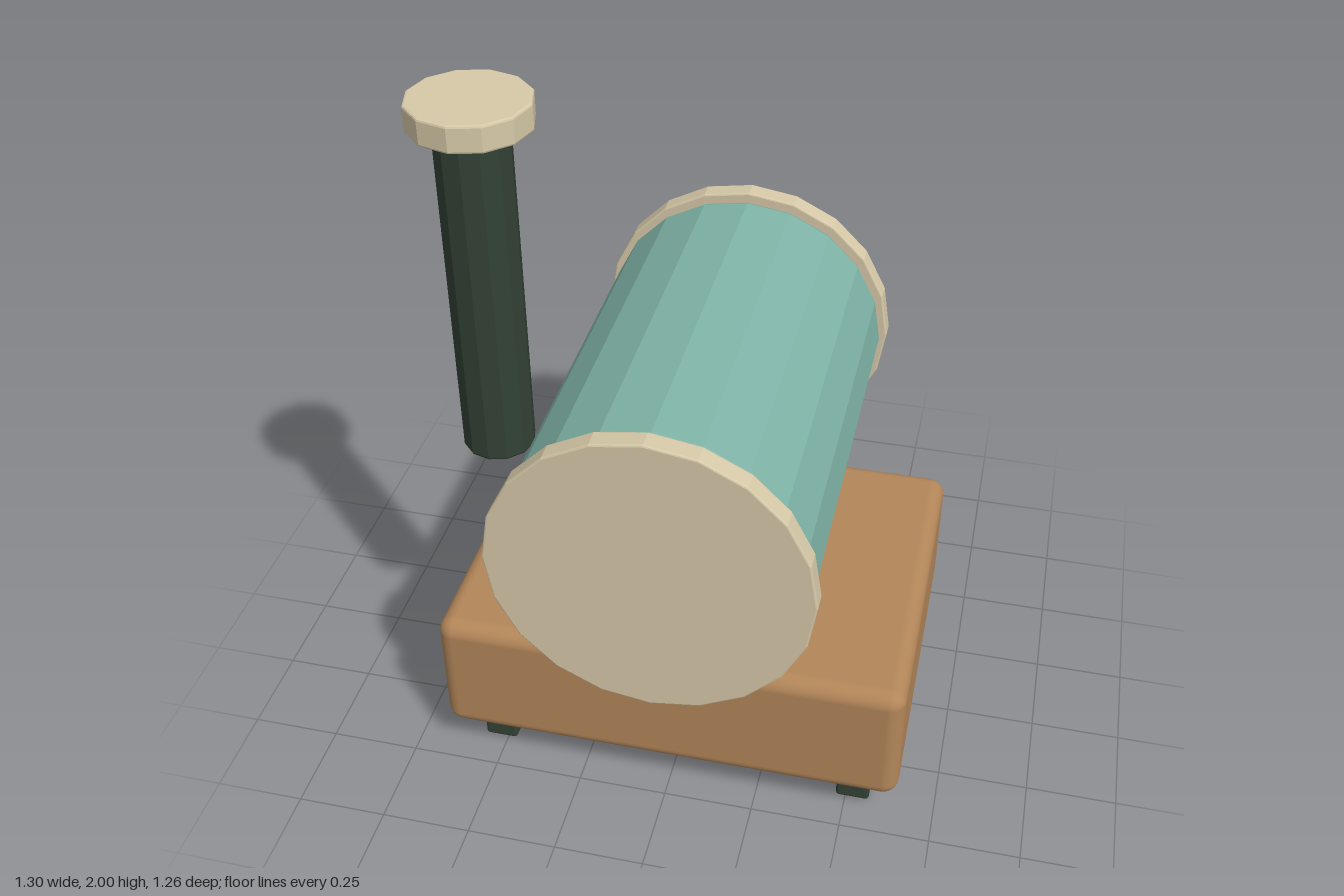
import * as THREE from 'three';
import { RoundedBoxGeometry } from 'three/addons/geometries/RoundedBoxGeometry.js';

const material = (name, color) => {
  const m = new THREE.MeshStandardMaterial({ color });
  m.name = name;
  return m;
};

// Faceted cylinder along y with softly bevelled rims
function bevelledCylinder(radius, height, sides, bevel) {
  const h = height / 2;
  const k = bevel * 0.3;
  const profile = [
    [0, -h], [radius - bevel, -h], [radius - k, -h + k], [radius, -h + bevel],
    [radius, h - bevel], [radius - k, h - k], [radius - bevel, h], [0, h],
  ].map(([r, y]) => new THREE.Vector2(r, y));
  const geometry = new THREE.LatheGeometry(profile, sides).toNonIndexed();
  geometry.computeVertexNormals();
  return geometry;
}

export function createModel() {
  const model = new THREE.Group();
  model.name = 'boilerOnBase';

  const wood = material('woodBrown', 0xb38659);
  const teal = material('tealPaint', 0x7fb3a7);
  const cream = material('cream', 0xd6c9a8);
  const dark = material('darkGreen', 0x334235);

  const add = (name, geometry, mat, x, y, z) => {
    const mesh = new THREE.Mesh(geometry, mat);
    mesh.name = name;
    mesh.position.set(x, y, z);
    model.add(mesh);
    return mesh;
  };

  // Base block
  add('base', new RoundedBoxGeometry(1.296, 0.385, 0.965, 4, 0.045), wood, 0, 0.3125, 0);

  // Four feet
  const foot = new RoundedBoxGeometry(0.094, 0.12, 0.094, 2, 0.01);
  for (const x of [-0.52, 0.52]) {
    for (const z of [-0.35, 0.35]) add('foot', foot, dark, x, 0.065, z);
  }

  // Horizontal drum with an end plate on each side
  const drumY = 0.927;
  add('drum', bevelledCylinder(0.405, 1.142, 20, 0.02), teal, 0, drumY, 0).rotation.x = Math.PI / 2;
  const plate = bevelledCylinder(0.424, 0.056, 20, 0.005);
  for (const z of [-0.602, 0.602]) {
    add('endPlate', plate, cream, 0, drumY, z).rotation.x = Math.PI / 2;
  }

  // Chimney pipe and its cap
  add('chimney', bevelledCylinder(0.094, 0.92, 12, 0.008), dark, -0.487, 1.478, 0.273);
  add('chimneyCap', bevelledCylinder(0.153, 0.07, 12, 0.006), cream, -0.487, 1.965, 0.273);

  // Rest the feet on the ground
  model.updateMatrixWorld(true);
  const drop = new THREE.Box3().setFromObject(model).min.y;
  model.children.forEach((m) => { if (m.name === 'foot') m.position.y -= drop; });

  return model;
}
